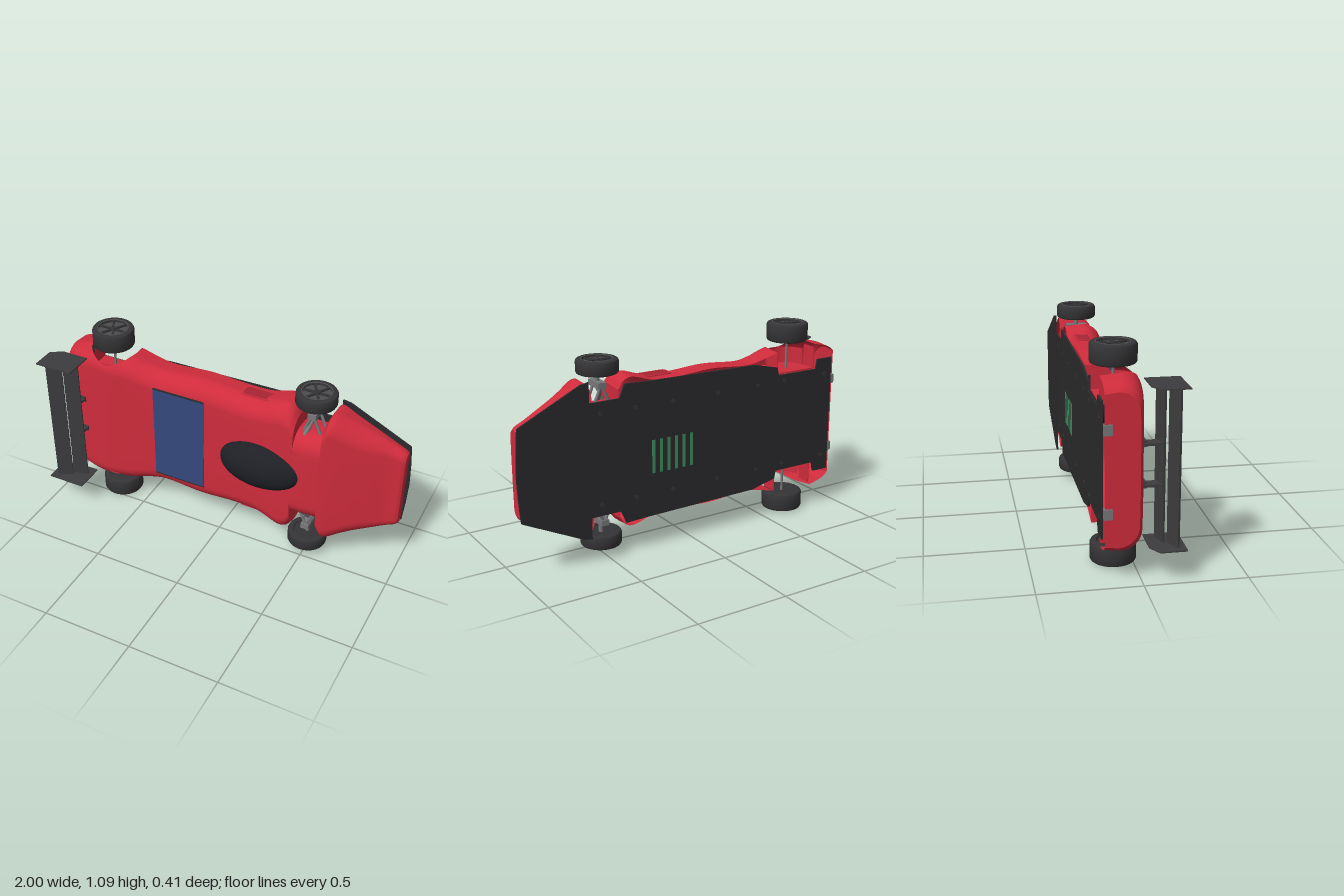
import * as THREE from 'three';
import { toCreasedNormals } from 'three/addons/utils/BufferGeometryUtils.js';

// The car lies on its side: nose to +x, roof to +z, width along y.
const mat = (color) => new THREE.MeshStandardMaterial({ color, side: THREE.DoubleSide });
const red = mat(0xcf2c3c), darkRed = mat(0xa82432), tyreMat = mat(0x343436), rimMat = mat(0x4c4c4e),
  plateMat = mat(0x2b2b2d), wingMat = mat(0x3c3c3e), metal = mat(0x77777a),
  glass = mat(0x1e2026), blue = mat(0x35487c), green = mat(0x3f8f5f);

const BASE = -0.175;                       // lower edge of the shell
const REAR = { x: -0.685, z: -0.09, y: 0.491, r: 0.113, w: 0.102 };
const FRONT = { x: 0.5, z: -0.09, y: 0.457, r: 0.108, w: 0.075 };

function add(parent, name, geo, material, x = 0, y = 0, z = 0) {
  const m = new THREE.Mesh(geo, material);
  m.name = name;
  m.position.set(x, y, z);
  parent.add(m);
  return m;
}
const box = (x, y, z) => new THREE.BoxGeometry(x, y, z);

// Rod between two points
function rod(parent, name, a, b, r, material) {
  const p = new THREE.Vector3(...a), q = new THREE.Vector3(...b);
  const m = add(parent, name, new THREE.CylinderGeometry(r, r, p.distanceTo(q), 10), material);
  m.position.copy(p).add(q).multiplyScalar(0.5);
  m.quaternion.setFromUnitVectors(new THREE.Vector3(0, 1, 0), q.sub(p).normalize());
}

// Flat sheet from half an outline, mirrored across the centre line
function sheet(half, depth) {
  const pts = [...half, ...half.map(([x, y]) => [x, -y]).reverse()];
  const shape = new THREE.Shape(pts.map(([x, y]) => new THREE.Vector2(x, y)));
  return new THREE.ExtrudeGeometry(shape, { depth, bevelEnabled: false });
}

// Lower edge of the shell at x: raised over the rear wheels
function lowerEdge(x) {
  const u = (x - REAR.x) / 0.125;
  return Math.abs(u) < 1 ? Math.max(BASE, REAR.z + 0.112 * Math.sqrt(1 - u * u)) : BASE;
}

// Cross-section: upright side, rounded shoulder, nearly flat top
function section(x, w, top) {
  const rz = Math.min(0.1, (top - BASE) * 0.7), ry = Math.min(0.1, rz * 1.1), low = lowerEdge(x);
  const a0 = low > top - rz ? Math.asin(Math.min(0.97, (low - top + rz) / rz)) : 0;
  const half = [[w - (a0 ? ry * (1 - Math.cos(a0)) : 0.008), Math.min(low, top - rz * 0.03)]];
  for (let k = 0; k <= 8; k++) {
    const a = a0 + (Math.PI / 2 - a0) * k / 8;
    half.push([w - ry + ry * Math.cos(a), top - rz + rz * Math.sin(a)]);
  }
  half.push([w * 0.4, top + 0.002]);
  return [...half, ...half.map(([y, z]) => [-y, z]).reverse()].map(([y, z]) => [x, y, z]);
}

// Shell lofted through [x, half width, top] keys, with both ends closed
function shell(keys, steps) {
  const curve = new THREE.CatmullRomCurve3(keys.map((k) => new THREE.Vector3(...k)), false, 'centripetal');
  const rings = curve.getPoints(steps).map((p) => section(p.x, p.y, p.z));
  const n = rings[0].length, pos = rings.flat(2), idx = [];
  for (let i = 0; i < steps; i++) for (let j = 0; j < n - 1; j++) {
    const a = i * n + j, b = a + n;
    idx.push(a, a + 1, b, a + 1, b + 1, b);
  }
  [rings[0], rings[steps]].forEach((ring, e) => {
    const s = pos.length / 3;
    pos.push(...ring.flat());
    for (let j = 1; j < n - 1; j++) idx.push(s, ...(e ? [s + j, s + j + 1] : [s + j + 1, s + j]));
  });
  const g = new THREE.BufferGeometry();
  g.setAttribute('position', new THREE.Float32BufferAttribute(pos, 3));
  g.setIndex(idx);
  g.computeVertexNormals();
  return g;
}

function wheel({ r, w }) {
  const g = new THREE.Group(), h = w / 2, c = 0.012;
  const profile = [[0, -h + 0.01], [r * 0.68, -h + 0.01], [r * 0.72, -h], [r - c, -h], [r - 0.004, -h + 0.004],
    [r, -h + c], [r, h - c], [r - 0.004, h - 0.004], [r - c, h], [r * 0.76, h], [r * 0.74, h - 0.02], [0, h - 0.02]];
  const lathe = new THREE.LatheGeometry(profile.map((p) => new THREE.Vector2(...p)), 40);
  add(g, 'tyre', toCreasedNormals(lathe, 0.6), tyreMat);
  add(g, 'rimRing', new THREE.TorusGeometry(r * 0.73, 0.004, 8, 40), rimMat, 0, h - 0.002).rotation.x = Math.PI / 2;
  add(g, 'rimDisc', new THREE.CylinderGeometry(r * 0.72, r * 0.72, 0.004, 32), rimMat, 0, h - 0.018);
  add(g, 'hub', new THREE.CylinderGeometry(r * 0.14, r * 0.17, 0.018, 20), tyreMat, 0, h - 0.011);
  for (let i = 0; i < 6; i++) {
    const a = i * Math.PI / 3;
    add(g, 'spoke', box(r * 0.62, 0.01, 0.012), tyreMat, Math.cos(a) * r * 0.4, h - 0.012, Math.sin(a) * r * 0.4).rotation.y = -a;
  }
  return g;
}

// Rounded slot outline in local x, y
function slot(P, w, h, r) {
  const s = new P();
  s.absarc(w - r, h - r, r, 0, Math.PI / 2);
  s.absarc(r - w, h - r, r, Math.PI / 2, Math.PI);
  s.absarc(r - w, r - h, r, Math.PI, Math.PI * 1.5);
  s.absarc(w - r, r - h, r, Math.PI * 1.5, Math.PI * 2);
  return s;
}

export function createModel() {
  const model = new THREE.Group();
  const car = new THREE.Group();
  car.name = 'raceCar';
  car.position.y = 0.542;
  model.add(car);

  // Body shell: main body, narrow waist between the front wheels, nose
  add(car, 'mainBody', shell([[-0.95, 0.37, -0.012], [-0.92, 0.395, 0.005], [-0.8, 0.425, 0.025], [-0.68, 0.42, 0.035],
    [-0.56, 0.408, 0.02], [-0.45, 0.38, 0.006], [-0.36, 0.366, 0], [-0.13, 0.38, 0], [0.08, 0.368, 0.002],
    [0.22, 0.37, 0.008], [0.36, 0.405, 0.025], [0.4, 0.39, 0.028], [0.43, 0.35, 0.03]], 130), red);
  add(car, 'frontWaist', shell([[0.43, 0.27, 0.03], [0.5, 0.268, 0.03], [0.58, 0.27, 0.024]], 8), red);
  add(car, 'nose', shell([[0.58, 0.35, 0.024], [0.61, 0.402, 0.016], [0.7, 0.364, -0.016], [0.82, 0.309, -0.062],
    [0.92, 0.262, -0.1], [0.97, 0.238, -0.108], [0.985, 0.225, -0.118]], 30), red);

  // Floor plate and front splitter
  add(car, 'floorPlate', sheet([[-0.93, 0.33], [-0.83, 0.33], [-0.82, 0.275], [-0.56, 0.275], [-0.55, 0.32],
    [-0.4, 0.355], [0.28, 0.365], [0.4, 0.37], [0.43, 0.3], [0.62, 0.3]], 0.01), plateMat, 0, 0, -0.189);
  add(car, 'splitter', sheet([[0.605, 0.41], [0.65, 0.402], [0.985, 0.24], [0.995, 0.12], [1, 0]], 0.009), plateMat, 0, 0, -0.199);
  for (let i = 0; i < 6; i++) add(car, 'floorVent', box(0.018, 0.18, 0.003), green, 0.237 - i * 0.046, -0.04, -0.1895);
  for (const x of [-0.88, -0.6, -0.42, -0.16, 0.12, 0.34, 0.54]) for (const y of [-0.24, 0.24]) {
    const bolt = add(car, 'floorBolt', new THREE.CylinderGeometry(0.012, 0.012, 0.004, 14), tyreMat, x, y, -0.19);
    bolt.rotation.x = Math.PI / 2;
  }

  // Canopy and window panel
  add(car, 'canopy', new THREE.SphereGeometry(1, 48, 32), glass, 0.247, 0.002, 0).scale.set(0.236, 0.135, 0.105);
  add(car, 'windowPanel', box(0.305, 0.57, 0.006), blue, -0.247, 0.005, 0.003);
  for (const s of [-1, 1]) add(car, 'windowEdge', box(0.305, 0.006, 0.008), plateMat, -0.247, 0.005 + s * 0.284, 0.003);

  for (const s of [-1, 1]) {
    // Wheels
    for (const [name, d] of [['rearWheel', REAR], ['frontWheel', FRONT]]) {
      const w = wheel(d);
      w.name = name;
      w.position.set(d.x, s * d.y, d.z);
      if (s < 0) w.rotation.x = Math.PI;
      car.add(w);
    }

    // Rear wheel housing
    add(car, 'wellWall', box(0.25, 0.006, 0.19), red, REAR.x, s * 0.28, -0.08);
    add(car, 'wellLiner', new THREE.CylinderGeometry(0.114, 0.114, 0.1, 28, 1, true, -Math.PI / 2, Math.PI), red, REAR.x, s * 0.325, REAR.z);
    for (const e of [-1, 1]) add(car, 'wellEnd', box(0.004, 0.12, 0.085), red, REAR.x + e * 0.125, s * 0.34, -0.133);

    // Side inlet
    const frame = slot(THREE.Shape, 0.085, 0.042, 0.02);
    frame.holes.push(slot(THREE.Path, 0.077, 0.034, 0.015));
    const opts = { depth: 0.006, bevelEnabled: false, curveSegments: 8 };
    const inlet = add(car, 'sideInletFrame', new THREE.ExtrudeGeometry(frame, opts), red, 0.18, s * 0.369, -0.1);
    add(inlet, 'sideInlet', new THREE.ExtrudeGeometry(slot(THREE.Shape, 0.077, 0.034, 0.015), { ...opts, depth: 0.003 }), darkRed);
    inlet.rotation.x = -s * Math.PI / 2;

    // Front suspension: two wishbones, upright and stub axle
    for (const z of [-0.13, -0.055]) for (const e of [-1, 1]) {
      rod(car, 'wishbone', [0.5 + e * 0.05, s * 0.25, z], [0.5, s * 0.37, z], 0.008, metal);
    }
    add(car, 'upright', box(0.045, 0.03, 0.11), metal, 0.5, s * 0.365, -0.09);
    rod(car, 'stubAxle', [0.5, s * 0.36, -0.09], [0.5, s * 0.43, -0.09], 0.012, metal);
    rod(car, 'damper', [0.47, s * 0.25, -0.03], [0.5, s * 0.36, -0.12], 0.012, metal);

    // Wing end plates, struts and rear brackets
    const plate = new THREE.Shape([[-1, 0.204], [-0.785, 0.204], [-0.785, 0.035], [-0.935, 0.035], [-1, 0.075]]
      .map(([x, z]) => new THREE.Vector2(x, z)));
    const end = new THREE.ExtrudeGeometry(plate, { depth: 0.006, bevelEnabled: false });
    add(car, 'wingEndPlate', end, wingMat, 0, s * 0.385 + 0.003).rotation.x = Math.PI / 2;
    add(car, 'wingStrut', box(0.06, 0.012, 0.1), wingMat, -0.86, s * 0.1, 0.055);
    add(car, 'strutFoot', box(0.05, 0.03, 0.02), wingMat, -0.85, s * 0.1, 0.022);
    add(car, 'rearBracket', box(0.03, 0.05, 0.04), metal, -0.945, s * 0.2, -0.16);
  }
  rod(car, 'rearAxle', [REAR.x, -0.45, REAR.z], [REAR.x, 0.45, REAR.z], 0.007, metal);

  // Two-element rear wing
  add(car, 'wingMain', box(0.085, 0.77, 0.01), wingMat, -0.855, 0, 0.1).rotation.y = 0.28;
  add(car, 'wingFlap', box(0.088, 0.77, 0.01), wingMat, -0.928, 0, 0.15).rotation.y = 0.4;

  // Extrusions along z were turned about x, so mirror the end plates upward
  car.children.filter((m) => m.name === 'wingEndPlate').forEach((m) => { m.rotation.x = Math.PI / 2; });
  return model;
}
